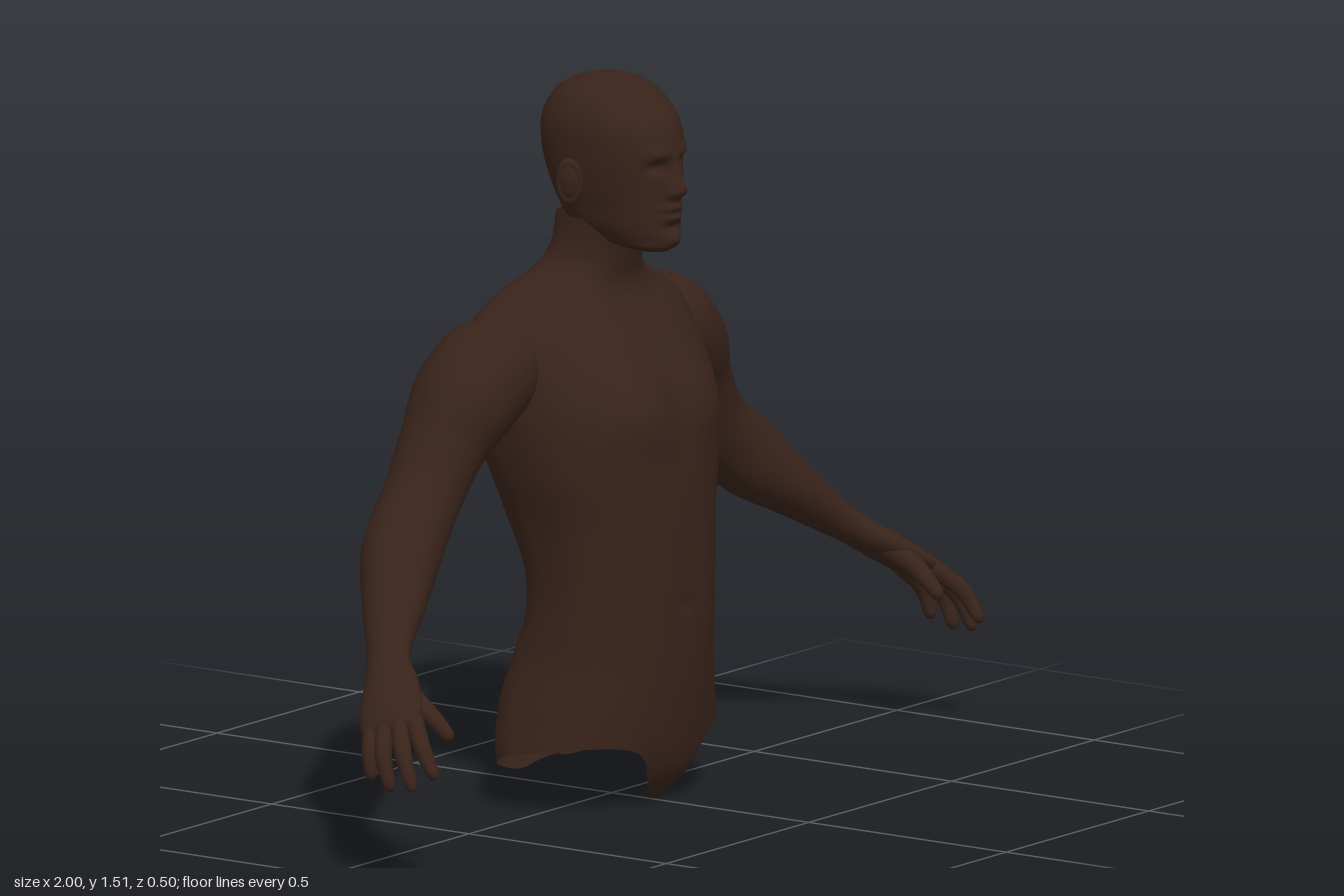
import * as THREE from 'three';

const skin = new THREE.MeshStandardMaterial({ color: 0x38231a, roughness: 0.8, side: THREE.DoubleSide });
const SEG = 72;

// Smooth interpolation of rows keyed by their first number
function sample(rows, k) {
  const n = rows.length;
  let i = 0;
  while (i < n - 2 && rows[i + 1][0] < k) i++;
  const a = rows[i], b = rows[i + 1], h = b[0] - a[0];
  const t = THREE.MathUtils.clamp((k - a[0]) / h, 0, 1);
  const slope = (j, c) => {
    const p = rows[Math.max(j - 1, 0)], q = rows[Math.min(j + 1, n - 1)];
    return (q[c] - p[c]) / (q[0] - p[0]);
  };
  const t2 = t * t, t3 = t2 * t;
  return a.map((v, c) => (2 * t3 - 3 * t2 + 1) * v + (t3 - 2 * t2 + t) * h * slope(i, c)
    + (3 * t2 - 2 * t3) * b[c] + (t3 - t2) * h * slope(i + 1, c));
}

// Skin over closed rings of points, optionally capped
function loft(name, rings, capStart, capEnd) {
  const n = rings[0].length, pos = [], idx = [];
  rings.forEach(r => r.forEach(p => pos.push(p.x, p.y, p.z)));
  for (let i = 0; i < rings.length - 1; i++) {
    for (let j = 0; j < n; j++) {
      const a = i * n + j, b = i * n + (j + 1) % n;
      idx.push(a, b, a + n, b, b + n, a + n);
    }
  }
  const cap = (row, flip) => {
    const c = new THREE.Vector3();
    rings[row].forEach(p => c.addScaledVector(p, 1 / n));
    const m = pos.length / 3;
    pos.push(c.x, c.y, c.z);
    for (let j = 0; j < n; j++) {
      const a = row * n + j, b = row * n + (j + 1) % n;
      if (flip) idx.push(m, b, a); else idx.push(m, a, b);
    }
  };
  if (capStart) cap(0, true);
  if (capEnd) cap(rings.length - 1, false);
  const g = new THREE.BufferGeometry();
  g.setAttribute('position', new THREE.Float32BufferAttribute(pos, 3));
  g.setIndex(idx);
  g.computeVertexNormals();
  const mesh = new THREE.Mesh(g, skin);
  mesh.name = name;
  return mesh;
}

// Point on a body section; rows hold y, half width, front z, back z, widest z.
// Bumps hold x, y, spread x, spread y, height, side (1 front, -1 back).
function bodyPoint(rows, y, a, powFront, powBack, bumps) {
  const [, w, zf, zb, zc] = sample(rows, y);
  const c = Math.cos(a), s = Math.sin(a), x = w * s, front = c >= 0;
  let z = zc + ((front ? zf : zb) - zc) * Math.pow(Math.abs(c), front ? powFront : powBack);
  for (const [bx, by, sx, sy, amp, side] of bumps) {
    if (side * c > 0) {
      const dx = (Math.abs(x) - bx) / sx, dy = (y - by) / sy;
      z += amp * c * Math.exp(-dx * dx - dy * dy);
    }
  }
  return new THREE.Vector3(x, y, z);
}

const ring = (n, f) => Array.from({ length: n }, (_, j) => f((j / n) * Math.PI * 2));

// Tube with oval sections and a rounded tip; keys hold x, y, z, width, thickness
function limb(name, side, keys, steps, n, tip) {
  const path = new THREE.CatmullRomCurve3(keys.map(k => new THREE.Vector3(k[0] * side, k[1], k[2])));
  const size = new THREE.CatmullRomCurve3(keys.map(k => new THREE.Vector3(k[3], k[4], 0)));
  const rings = [];
  for (let i = 0; i <= steps; i++) {
    const t = Math.sin((i / steps) * Math.PI / 2);
    const p = path.getPoint(t), d = path.getTangent(t), r = size.getPoint(t);
    const u = new THREE.Vector3(0, 0, 1).addScaledVector(d, -d.z).normalize();
    const v = d.clone().cross(u);
    const e = Math.max(0, (t - 1 + tip) / tip), k = Math.sqrt(Math.max(1 - e * e, 0.002));
    rings.push(ring(n, a => p.clone()
      .addScaledVector(u, Math.cos(a) * r.x * k).addScaledVector(v, Math.sin(a) * r.y * k)));
  }
  return loft(name, rings, true, true);
}

function createTorso() {
  const rows = [
    [0, .24, .10, -.15, -.02], [.05, .265, .145, -.16, -.02], [.1, .278, .165, -.18, -.02],
    [.2, .26, .18, -.19, -.01], [.3, .236, .188, -.165, 0], [.4, .228, .19, -.13, .02],
    [.5, .23, .19, -.135, .02], [.6, .245, .19, -.175, 0], [.7, .275, .187, -.205, -.02],
    [.8, .295, .18, -.245, -.05], [.88, .305, .157, -.255, -.08], [.96, .305, .11, -.24, -.1],
    [1.02, .28, .07, -.215, -.1], [1.06, .215, .048, -.19, -.1], [1.09, .15, .043, -.165, -.08],
    [1.12, .11, .05, -.14, -.06], [1.16, .094, .06, -.122, -.04], [1.22, .09, .08, -.115, -.02]];
  const bumps = [
    [.13, .82, .08, .07, .016, 1], [0, .84, .025, .1, -.008, 1],       // chest
    [.1, .5, .05, .2, .006, 1], [0, .42, .015, .02, -.008, 1],         // abdomen
    [0, .62, .035, .3, -.018, -1], [.14, .86, .07, .1, .008, -1],      // spine and shoulder blades
    [0, .12, .025, .1, -.035, -1], [.11, .14, .07, .08, .006, -1]];    // seat
  // Height of the cut lower edge by angle from the front
  const hem = [[0, 0], [12, .03], [20, .1], [30, .13], [60, .14], [90, .125], [120, .09], [150, .055], [165, .05], [180, .065]];
  const rings = [];
  for (let i = 0; i <= 90; i++) {
    rings.push(ring(SEG, a => {
      const deg = Math.acos(Math.cos(a)) * 180 / Math.PI, low = sample(hem, deg)[1];
      const y = i < 16 ? THREE.MathUtils.lerp(low, .24, i / 16) : .24 + (i - 16) / 74 * .98;
      return bodyPoint(rows, y, a, .9, .68, bumps);
    }));
  }
  return loft('torso', rings, false, false);
}

function createHead() {
  const rows = [
    [1.155, .03, .14, .06, .1], [1.165, .056, .155, .02, .08], [1.18, .07, .16, -.03, .05],
    [1.21, .088, .16, -.09, .02], [1.25, .099, .16, -.115, 0], [1.3, .112, .16, -.135, -.01],
    [1.36, .12, .162, -.152, -.01], [1.42, .12, .147, -.152, -.01], [1.47, .1, .107, -.127, -.005],
    [1.495, .073, .072, -.092, -.005], [1.509, .04, .035, -.052, -.005], [1.515, .005, .002, -.01, -.004]];
  const bumps = [
    [0, 1.288, .018, .02, .026, 1], [0, 1.32, .013, .03, .014, 1], [.016, 1.28, .01, .01, .008, 1], // nose
    [.04, 1.365, .03, .012, .008, 1], [.042, 1.337, .022, .014, -.018, 1],                         // brows and sockets
    [0, 1.249, .028, .008, .013, 1], [0, 1.228, .025, .008, .011, 1], [0, 1.208, .03, .008, -.007, 1], // lips
    [0, 1.182, .025, .014, .008, 1]];                                                              // chin
  const head = new THREE.Group();
  head.name = 'head';
  const rings = [];
  for (let i = 0; i <= 110; i++) {
    const y = 1.155 + .36 * (.5 - .5 * Math.cos(Math.PI * i / 110));
    rings.push(ring(96, a => bodyPoint(rows, y, a, .85, .95, bumps)));
  }
  head.add(loft('skull and face', rings, true, true));
  for (const s of [-1, 1]) {
    const eye = new THREE.Mesh(new THREE.SphereGeometry(.016, 20, 14), skin);
    eye.name = 'eye';
    eye.position.set(s * .042, 1.336, .118);
    head.add(eye);
    // Ear: dished plate with a rolled rim
    const ear = new THREE.Group();
    ear.name = 'ear';
    const plate = new THREE.Mesh(new THREE.SphereGeometry(1, 20, 14), skin);
    plate.scale.set(.022, .042, .012);
    const rim = new THREE.Mesh(new THREE.TorusGeometry(.022, .007, 10, 28), skin);
    rim.scale.set(1, 1.75, 1);
    ear.add(plate, rim);
    ear.position.set(s * .124, 1.303, -.017);
    ear.rotation.set(.12, s * 1.1, 0, 'YXZ');
    head.add(ear);
  }
  return head;
}

function createArm(side) {
  const arm = new THREE.Group();
  arm.name = side > 0 ? 'leftArm' : 'rightArm';
  arm.add(limb('arm and palm', side, [
    [.2, .955, -.11, .07, .06], [.3, .925, -.1, .118, .108], [.37, .87, -.108, .115, .104],
    [.43, .79, -.118, .094, .085], [.5, .69, -.12, .084, .079], [.595, .6, -.1, .084, .083],
    [.7, .51, -.045, .068, .057], [.81, .42, .02, .046, .034], [.87, .373, .07, .062, .031],
    [.92, .333, .105, .068, .025], [.95, .302, .125, .06, .016]], 80, 40, .04));
  // Fingers: knuckle, middle joint, tip
  const fingers = [
    [[.91, .335, .155], [.948, .285, .205], [.957, .222, .245]],
    [[.925, .33, .13], [.972, .268, .175], [.983, .196, .208]],
    [[.925, .33, .1], [.98, .265, .13], [.988, .192, .155]],
    [[.91, .335, .065], [.968, .275, .088], [.982, .208, .102]]];
  for (const [a, b, c] of fingers) {
    arm.add(limb('finger', side, [[...a, .02, .02], [...b, .018, .018], [...c, .013, .013]], 22, 16, .12));
  }
  arm.add(limb('thumb', side, [[.85, .385, .07, .026, .026], [.862, .35, .135, .023, .022],
    [.86, .318, .18, .018, .018], [.858, .285, .215, .013, .013]], 22, 16, .12));
  return arm;
}

export function createModel() {
  const model = new THREE.Group();
  model.name = 'upperBody';
  model.add(createTorso(), createHead(), createArm(1), createArm(-1));
  return model;
}
